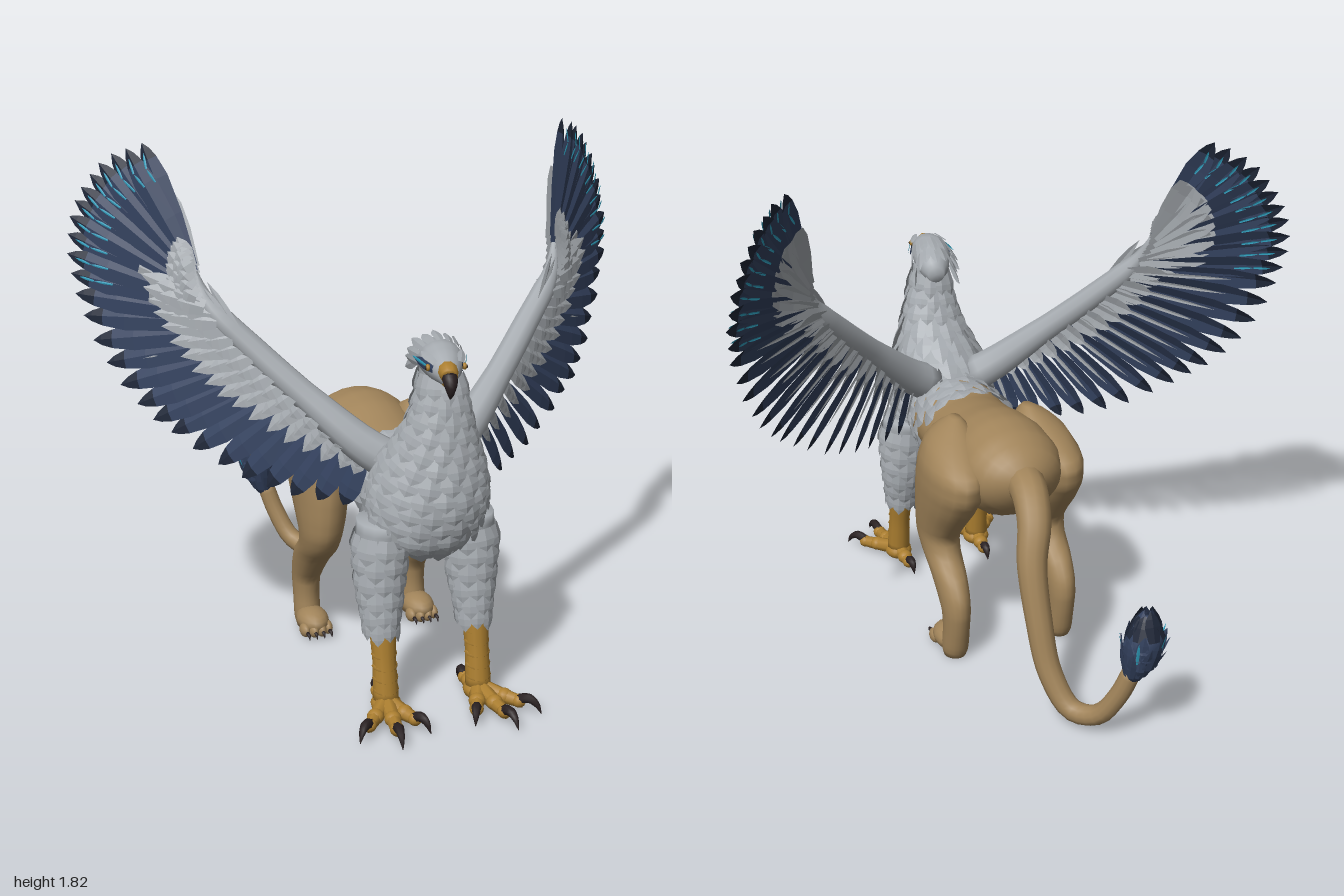
import * as THREE from 'three';
import { mergeGeometries } from 'three/addons/utils/BufferGeometryUtils.js';

const V = (x, y, z) => new THREE.Vector3(x, y, z);
const paint = (name, color) => Object.assign(new THREE.MeshStandardMaterial({ color, side: THREE.DoubleSide }), { name });
const TAU = Math.PI * 2;

// linear lookup in a table of rows keyed by their first number
function at(table, u) {
  const up = table[0][0] < table[table.length - 1][0];
  const rows = up ? table : [...table].reverse();
  let i = 0;
  while (i < rows.length - 2 && u > rows[i + 1][0]) i++;
  const a = rows[i], b = rows[i + 1];
  const t = THREE.MathUtils.clamp((u - a[0]) / (b[0] - a[0]), 0, 1);
  return a.map((v, k) => v + (b[k] - v) * t);
}

// point on an elliptical body; rows are [u, centre x, centre 2, radius x, radius 2]
const surface = (table, axis, s = 1) => (u, a, k = 1) => {
  const [, cx, c2, rx, r2] = at(table, u);
  const x = s * (cx + rx * k * Math.cos(a)), w = c2 + r2 * k * Math.sin(a);
  return axis === 'y' ? V(x, u, w) : V(x, w, u);
};

// closed skin over rings of points, always facing outwards
function loft(rings) {
  const n = rings[0].length, m = rings.length, pts = rings.flat(), idx = [];
  for (const r of [rings[0], rings[m - 1]]) pts.push(r.reduce((c, p) => c.add(p), V(0, 0, 0)).divideScalar(n));
  for (let j = 0; j < n; j++) {
    const k = (j + 1) % n, e = (m - 1) * n;
    for (let i = 0; i < m - 1; i++) {
      const a = i * n + j, b = i * n + k;
      idx.push(a, b, a + n, b, b + n, a + n);
    }
    idx.push(m * n, k, j, m * n + 1, e + j, e + k);
  }
  let vol = 0;
  for (let i = 0; i < idx.length; i += 3) vol += pts[idx[i]].dot(V(0, 0, 0).crossVectors(pts[idx[i + 1]], pts[idx[i + 2]]));
  if (vol < 0) idx.reverse();
  const g = new THREE.BufferGeometry().setFromPoints(pts);
  g.setIndex(idx);
  g.computeVertexNormals();
  return g;
}
function body(table, axis, s = 1, steps = 20, sides = 20) {
  const P = surface(table, axis, s), u0 = table[0][0], u1 = table[table.length - 1][0];
  return loft(Array.from({ length: steps + 1 }, (_, i) =>
    Array.from({ length: sides }, (_, j) => P(u0 + (u1 - u0) * i / steps, TAU * j / sides))));
}

// tapering tube along a smooth path
function taper(points, radii, steps = 8, sides = 8) {
  const c = new THREE.CatmullRomCurve3(points), f = c.computeFrenetFrames(steps);
  const table = radii.map((r, i) => [i / (radii.length - 1), r]);
  return loft(Array.from({ length: steps + 1 }, (_, i) => Array.from({ length: sides }, (_, j) => {
    const a = TAU * j / sides, r = at(table, i / steps)[1];
    return c.getPointAt(i / steps).addScaledVector(f.normals[i], r * Math.cos(a)).addScaledVector(f.binormals[i], r * Math.sin(a));
  })));
}

// ridged feather from base to tip; rows are [position, width share]
const SCALE = [[0, .7], [.5, 1], [.75, .75], [1, 0]];
const QUILL = [[0, .4], [.4, .9], [.7, 1], [.86, .72]];
const POINT = [[.86, .72], [.94, .42], [1, 0]];
function feather(base, tip, width, normal, rows = SCALE) {
  const d = tip.clone().sub(base), side = V(0, 0, 0).crossVectors(d, normal).normalize();
  const n = V(0, 0, 0).crossVectors(side, d).normalize(), pts = [];
  const row = ([t, w]) => [-1, 0, 1].map(k => base.clone().addScaledVector(d, t)
    .addScaledVector(side, k * w * width / 2).addScaledVector(n, k ? 0 : w * width * .12));
  for (let i = 0; i < rows.length - 1; i++) {
    const a = row(rows[i]), b = row(rows[i + 1]);
    for (const k of [0, 1]) pts.push(a[k], b[k], a[k + 1], a[k + 1], b[k], b[k + 1]);
  }
  const g = new THREE.BufferGeometry().setFromPoints(pts);
  g.computeVertexNormals();
  return g;
}
// one ring of overlapping feathers lying on a surface
function ring(P, u, du, count, lift, off, fill = 1.35, keep = () => true) {
  const out = [];
  for (let i = 0; i < count; i++) {
    const a = TAU * (i + off) / count, b = P(u, a);
    if (!keep(a)) continue;
    const w = P(u, a + Math.PI / count).distanceTo(P(u, a - Math.PI / count)) * fill;
    out.push(feather(b, P(u + du * (i % 2 ? 1 : .85), a, lift), w, P(u, a, 1.5).sub(b)));
  }
  return out;
}
function ball(x, y, z, rx, ry, rz) {
  return new THREE.SphereGeometry(1, 14, 10).scale(rx, ry, rz).translate(x, y, z);
}
function add(group, name, mat, geos) {
  const list = geos.map(g => { const h = g.index ? g.toNonIndexed() : g; h.deleteAttribute('uv'); return h; });
  const m = new THREE.Mesh(mergeGeometries(list), mat);
  m.name = name;
  group.add(m);
  return m;
}

const CHEST = [[1.22, -.005, .7, .06, .085], [1.12, 0, .705, .07, .095], [1, 0, .69, .1, .113], [.92, 0, .655, .13, .145],
  [.85, 0, .62, .16, .175], [.75, 0, .595, .18, .188], [.65, 0, .585, .175, .165], [.58, 0, .58, .14, .13], [.54, 0, .59, .06, .06]];
const TRUNK = [[.55, 0, .7, .155, .14], [.4, 0, .695, .17, .145], [.3, 0, .69, .175, .14], [.15, 0, .71, .172, .15], [.05, 0, .72, .178, .168],
  [-.05, 0, .72, .188, .178], [-.15, 0, .72, .185, .162], [-.23, 0, .73, .145, .115], [-.27, 0, .74, .09, .07], [-.295, 0, .745, .03, .025]];
const HIND = [[.875, .14, .06, .02, .03], [.84, .155, .045, .065, .09], [.8, .17, .015, .09, .145], [.74, .185, -.025, .103, .208],
  [.66, .19, -.012, .103, .213], [.58, .195, .02, .095, .185], [.5, .2, .055, .085, .145], [.43, .205, .075, .073, .112], [.37, .205, .045, .066, .105],
  [.31, .205, -.03, .06, .107], [.25, .205, -.08, .055, .095], [.19, .205, -.112, .05, .07], [.12, .205, -.11, .047, .06], [.03, .205, -.095, .048, .055], [0, .205, -.09, .04, .045]];
const SLEEVE = [[.66, .15, .575, .085, .1], [.55, .16, .58, .08, .09], [.42, .163, .585, .07, .075], [.28, .165, .61, .05, .052]];
const HEAD = [[.6, 0, 1.2, .03, .03], [.64, 0, 1.215, .055, .055], [.7, 0, 1.235, .07, .062], [.76, 0, 1.242, .07, .06],
  [.82, 0, 1.238, .058, .052], [.86, 0, 1.232, .042, .04], [.88, 0, 1.23, .03, .03]];
const TUFT = [[.25, -.155, -.825, .03, .03], [.32, -.175, -.84, .06, .06], [.4, -.185, -.845, .068, .068], [.46, -.19, -.845, .045, .045], [.49, -.19, -.845, .01, .01]];
const WINGZ = [[.1, .48], [.25, .4], [.54, .2], [.8, .02], [1, -.2]];

export function createModel() {
  const model = new THREE.Group();
  model.name = 'griffin';
  const fur = paint('tan fur', 0xa1845a), grey = paint('grey plumage', 0xa6abb0), navy = paint('navy feather', 0x34425f);
  const dark = paint('dark feather tip', 0x1f2738), gold = paint('golden skin', 0xac7f30), horn = paint('dark horn', 0x2a2122);
  const teal = paint('teal accent', 0x2f9dbb);

  // trunk, tail and tuft
  add(model, 'trunk', fur, [body(TRUNK, 'z', 1, 36, 24)]);
  add(model, 'tail', fur, [taper([V(0, .74, -.22), V(.01, .73, -.32), V(.03, .66, -.41), V(.06, .54, -.465), V(.06, .36, -.525), V(.04, .17, -.585),
    V(-.01, .055, -.66), V(-.07, .07, -.74), V(-.12, .17, -.795), V(-.155, .28, -.825)], [.07, .06, .05, .045, .04, .035, .033], 40, 12)]);
  const tuftAt = surface(TUFT, 'y');
  add(model, 'tuftCore', navy, [body(TUFT, 'y', 1, 10, 10)]);
  add(model, 'tuftFeathers', navy, [.27, .31, .35, .38].flatMap((y, i) => ring(tuftAt, y, .14, 9, [1.3, 1.4, 1.35, 1.5][i], i * .5, 1.3)));
  add(model, 'tuftTips', dark, ring(tuftAt, .42, .1, 7, 2.2, .2, 1.1));
  add(model, 'tuftAccents', teal, ring(tuftAt, .33, .11, 5, 1.5, .3, .16).map(g => g.translate(0, .01, 0)));

  // feathered neck, chest and mantle
  const chestAt = surface(CHEST, 'y'), trunkAt = surface(TRUNK, 'z');
  add(model, 'chest', grey, [body(CHEST, 'y', 1, 30, 20)]);
  const scales = [];
  for (let i = 0; i < 12; i++) {
    const y = 1.19 - i * .053;
    scales.push(...ring(chestAt, y, -.085, Math.round(8 + at(CHEST, y)[3] * 52), y > .66 ? 1.16 : 1.22, (i % 2) / 2));
  }
  add(model, 'chestFeathers', grey, scales);
  add(model, 'mantleFeathers', grey, [[.52, -2], [.46, -2], [.4, -.1], [.34, .3]].flatMap(([z, low], i) =>
    ring(trunkAt, z, -.1, 16, 1.1, (i % 2) / 2, 1.4, a => Math.sin(a) > low)));

  // head, turned slightly to its right
  const head = new THREE.Group();
  head.name = 'head';
  head.position.set(-.01, 0, .7);
  head.rotation.y = -.19;
  const headAt = surface(HEAD, 'z');
  add(head, 'skull', grey, [body(HEAD, 'z', 1, 18, 16)]);
  const crest = [];
  for (let i = 0; i < 9; i++) {
    const a = Math.PI * (i / 8 * 1.1 - .05), c = Math.cos(a), s = Math.sin(a);
    crest.push(feather(headAt(.74, a), V(c * .09, 1.225 + s * .07, .6 + (i % 2) * .02), .032, V(c, s, 0)));
    crest.push(feather(headAt(.67, a), V(c * .085, 1.18 + s * .08, .57 + (i % 2) * .025), .036, V(c, s, 0)));
  }
  add(head, 'crestFeathers', grey, crest);
  add(head, 'beakBase', gold, [taper([V(0, 1.235, .855), V(0, 1.238, .88), V(0, 1.228, .903)], [.036, .031, .025], 6, 10),
    taper([V(0, 1.207, .85), V(0, 1.2, .88), V(0, 1.198, .9)], [.022, .016, .005], 5, 8)]);
  add(head, 'beakHook', horn, [taper([V(0, 1.229, .9), V(0, 1.212, .92), V(0, 1.185, .925), V(0, 1.165, .915)], [.025, .022, .013, .002], 8, 10)]);
  for (const s of [1, -1]) {
    add(head, 'eyeStripe', navy, [feather(V(s * .045, 1.245, .865), V(s * .08, 1.243, .72), .034, V(s, .1, .2))]);
    add(head, 'eyeAccent', teal, [feather(V(s * .062, 1.25, .835), V(s * .087, 1.25, .72), .011, V(s, .1, .2))]);
    add(head, 'eye', gold, [ball(s * .057, 1.245, .842, .008, .011, .012)]);
    add(head, 'pupil', horn, [ball(s * .063, 1.245, .845, .004, .006, .006)]);
    add(head, 'brow', grey, [feather(V(s * .04, 1.267, .87), V(s * .065, 1.275, .76), .028, V(s * .5, 1, 0))]);
  }
  head.children.forEach(m => { m.position.z = -.7; });
  model.add(head);

  for (const s of [1, -1]) {
    const side = s > 0 ? 'left' : 'right';
    // hind leg with paw
    const hind = new THREE.Group();
    hind.name = side + 'HindLeg';
    add(hind, 'thighAndShank', fur, [body(HIND, 'y', s, 36, 18)]);
    const toes = [-.042, -.014, .014, .042];
    add(hind, 'paw', fur, [ball(s * .205, .045, -.035, .058, .045, .085),
      ...toes.map(t => ball(s * .205 + t, .026, .03 - Math.abs(t) * .5, .019, .026, .033))]);
    add(hind, 'pawClaws', horn, toes.map(t => taper([V(s * .205 + t, .025, .045), V(s * .205 + t, .025, .062), V(s * .205 + t, .01, .07)], [.008, .006, .001], 4, 6)));
    model.add(hind);

    // feathered foreleg with bird foot
    const fore = new THREE.Group();
    fore.name = side + 'Foreleg';
    const legAt = surface(SLEEVE, 'y', s);
    add(fore, 'sleeve', grey, [body(SLEEVE, 'y', s, 12, 14)]);
    add(fore, 'sleeveFeathers', grey, [.62, .56, .5, .44, .385, .335].flatMap((y, i) => ring(legAt, y, -.09, 9, 1.2, (i % 2) / 2, 1.3)));
    const shin = [V(s * .165, .32, .615), V(s * .165, .18, .64), V(s * .165, .04, .66)];
    add(fore, 'shin', gold, [taper(shin, [.046, .04, .044], 8, 12)]);
    add(fore, 'shinScutes', gold, [.25, .21, .17, .13, .09].map(y =>
      new THREE.TorusGeometry(.034, .011, 5, 10, Math.PI).rotateX(Math.PI / 2 + .25).translate(s * .165, y, .638 + (.18 - y) * .17)));
    const talons = [[.15, .18], [.035, .26], [-.085, .19], [-.01, -.16]];
    const along = ([dx, dz], t, y) => V(s * (.165 + dx * t), y, .66 + dz * t);
    add(fore, 'toes', gold, [ball(s * .165, .035, .66, .052, .035, .055), ...talons.flatMap(d => {
      const k = along(d, .42, .034), e = along(d, .66, .03);
      return [taper([along(d, 0, .045), along(d, .35, .034), along(d, .72, .028)], [.032, .026, .02], 6, 8),
        ball(k.x, k.y, k.z, .029, .026, .029), ball(e.x, e.y, e.z, .024, .023, .024)];
    })]);
    add(fore, 'talons', horn, talons.map(d => taper([along(d, .66, .036), along(d, .82, .048), along(d, .94, .034), along(d, 1.02, .004)], [.018, .017, .011, .001], 8, 7)));
    model.add(fore);

    // wing: arm, flight feathers and coverts
    const wing = new THREE.Group();
    wing.name = side + 'Wing';
    const W = (p, off = 0) => V(s * (p.x + off * .55), p.y, at(WINGZ, p.x)[1] - .3 * Math.max(0, p.y - 1.35) + off * .8);
    const tips = new THREE.CatmullRomCurve3([[.76, 1.82], [.86, 1.77], [.93, 1.68], [.98, 1.57], [1, 1.43], [.98, 1.28], [.92, 1.1], [.83, .95],
      [.72, .85], [.56, .74], [.4, .68], [.23, .66]].map(p => V(p[0], p[1], 0)));
    const roots = new THREE.CatmullRomCurve3([[.645, 1.44], [.64, 1.39], [.62, 1.34], [.55, 1.25], [.44, 1.13], [.31, 1.01], [.16, .88]].map(p => V(p[0], p[1], 0)));
    const normal = V(s * .75, .15, 1), tilt = V(s * .95, .4, .85);
    add(wing, 'arm', grey, [taper([[.08, .82], [.17, .88], [.31, 1.01], [.47, 1.17], [.61, 1.33], [.64, 1.42]].map(p => W(V(p[0], p[1], 0), .012)),
      [.07, .06, .048, .045, .04, .012], 20, 10)]);
    const pair = (t, frac, off) => {
      const r = roots.getPoint(t), e = tips.getPoint(t);
      return [W(r, off), W(r.clone().lerp(e, frac), off)];
    };
    const blades = [], points = [], streaks = [], front = [], back = [], N = 26;
    for (let i = 0; i < N; i++) {
      const t = i / (N - 1), off = (i % 2) * .006, [b, e] = pair(t, 1, off);
      blades.push(feather(b, e, .088, tilt, QUILL));
      points.push(feather(b, e, .088, tilt, POINT));
      if (i < 11) for (const k of [.016, -.01]) {
        const a = b.clone().lerp(e, .68), c = b.clone().lerp(e, .79), d = b.clone().lerp(e, .92);
        c.x += s * .012;
        for (const [p, q] of [[a, c], [c, d]]) streaks.push(feather(W(V(0, 0, 0)).multiplyScalar(0).add(p).addScaledVector(normal, k), q.clone().addScaledVector(normal, k), .009, normal));
      }
      // layered coverts on the front, a pale lining on the back
      const reach = t < .3 ? .55 : 1;
      [[.46, .022], [.33, .032], [.2, .042]].forEach(([f, o]) => front.push(feather(...pair(Math.min(1, t + o * .4), f * reach, o + off), .07, tilt)));
      if (t < .42) back.push(feather(...pair(t, .66 - t * .3, -.014 - off), .085, normal, QUILL));
      else back.push(feather(...pair(t, .3, -.014 - off), .06, normal), feather(...pair(t, .75, -.01 - off), .016, normal));
    }
    add(wing, 'flightFeathers', navy, blades);
    add(wing, 'flightTips', dark, points);
    add(wing, 'flightAccents', teal, streaks);
    add(wing, 'frontCoverts', grey, front);
    add(wing, 'wingLining', grey, back);
    add(wing, 'thumbFeathers', grey, [0, 1, 2].map(i => feather(W(V(.5 + i * .03, 1.22 + i * .03, 0), .04), W(V(.6 + i * .012, 1.4 - i * .02, 0), .03), .03, normal)));
    model.add(wing);
  }
  return model;
}
